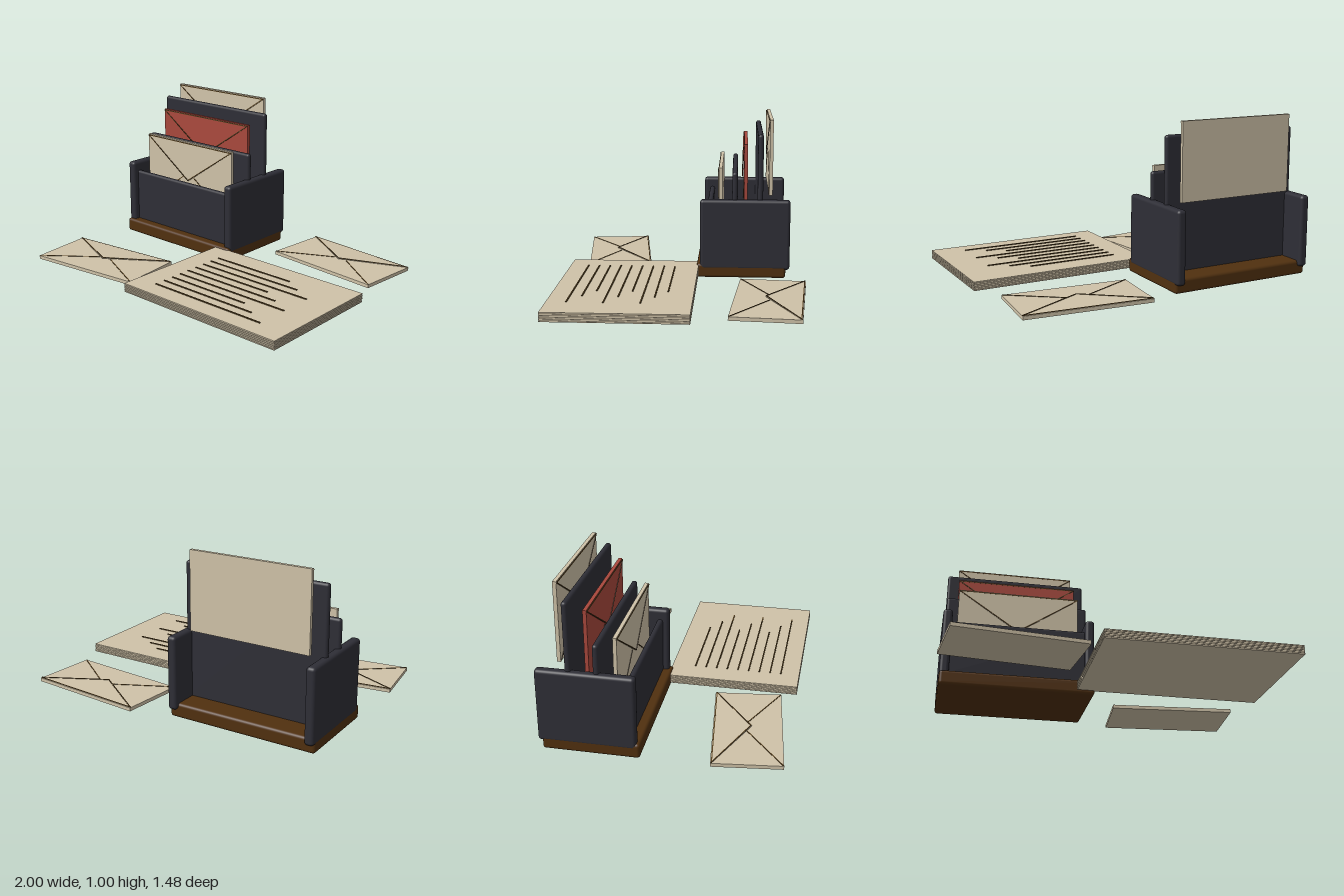
import * as THREE from 'three';
import { RoundedBoxGeometry } from 'three/addons/geometries/RoundedBoxGeometry.js';

const material = (name, color) => {
  const m = new THREE.MeshStandardMaterial({ color });
  m.name = name;
  return m;
};

export function createModel() {
  const root = new THREE.Group();
  root.name = 'letterRackSet';
  const paper = material('cream paper', 0xcfc2a8);
  const red = material('red paper', 0xa8483c);
  const dark = material('charcoal panel', 0x2e2e36);
  const wood = material('dark wood', 0x50300f);
  const ink = material('brown ink', 0x55401f);
  const shade = material('paper gap', 0x6b6250);

  const add = (parent, name, geometry, mat, x = 0, y = 0, z = 0) => {
    const mesh = new THREE.Mesh(geometry, mat);
    mesh.name = name;
    mesh.position.set(x, y, z);
    parent.add(mesh);
    return mesh;
  };
  const box = (w, h, d) => new THREE.BoxGeometry(w, h, d);
  const rounded = (w, h, d, r) => new RoundedBoxGeometry(w, h, d, 3, r);

  // Rack: wooden base, two side panels, three stepped dividers
  const rack = new THREE.Group();
  rack.name = 'rack';
  rack.position.x = -0.5025;
  root.add(rack);
  add(rack, 'base', rounded(0.945, 0.09, 0.565, 0.018), wood, 0, 0.045, -0.3475);
  for (const s of [-1, 1]) {
    add(rack, 'sidePanel', rounded(0.058, 0.45, 0.57, 0.02), dark, s * 0.4445, 0.278, -0.37);
  }
  for (const [top, z] of [[0.438, -0.14], [0.676, -0.305], [0.915, -0.465]]) {
    add(rack, 'divider', rounded(0.908, top - 0.075, 0.035, 0.0165), dark, 0, (top + 0.075) / 2, z);
  }

  // A thin straight crease between two points on the envelope's face
  const crease = (parent, a, b) => {
    const from = new THREE.Vector3(...a), to = new THREE.Vector3(...b);
    const bar = add(parent, 'crease', box(from.distanceTo(to), 0.006, 0.003), ink);
    bar.position.copy(from).add(to).multiplyScalar(0.5);
    bar.quaternion.setFromUnitVectors(new THREE.Vector3(1, 0, 0), to.sub(from).normalize());
  };

  // Envelope: upright, facing +z, with a slightly lifted pointed flap
  const envelope = (name, w, h, mat) => {
    const g = new THREE.Group();
    g.name = name;
    const t = 0.022, x = w / 2, y = h / 2, face = t / 2;
    const apex = y - h * 0.545, tip = face + 0.011;
    add(g, 'body', box(w, h, t), mat);
    const flapShape = new THREE.Shape([
      new THREE.Vector2(-x, 0), new THREE.Vector2(0, apex - y), new THREE.Vector2(x, 0),
    ]);
    const flap = add(g, 'flap',
      new THREE.ExtrudeGeometry(flapShape, { depth: 0.003, bevelEnabled: false }), mat, 0, y - 0.006, face);
    flap.rotation.x = -Math.atan2(tip - face - 0.003, y - apex);
    for (const s of [-1, 1]) {
      crease(g, [s * (x - 0.003), y - 0.006, face + 0.004], [0, apex, tip + 0.002]);
      crease(g, [s * (x - 0.003), -y + 0.003, face + 0.001], [s * 0.045, apex + 0.022, face + 0.001]);
    }
    crease(g, [-x, y - 0.008, face + 0.002], [x, y - 0.008, face + 0.002]);
    root.add(g);
    return g;
  };

  // Letters standing in the rack: top height, depth, colour
  for (const [name, top, z, mat] of [
    ['frontLetter', 0.695, -0.213, paper],
    ['middleLetter', 0.845, -0.374, red],
    ['backLetter', 1.0, -0.533, paper],
  ]) envelope(name, 0.765, 0.48, mat).position.set(-0.5025, top - 0.24, z);

  // Envelopes lying loose beside the rack
  for (const [name, x, z, yaw] of [
    ['looseEnvelopeBack', 0.544, -0.511, -0.088],
    ['looseEnvelopeFront', -0.595, 0.49, 0.12],
  ]) {
    const e = envelope(name, 0.768, 0.404, paper);
    e.position.set(x, 0.032, z);
    e.rotation.set(-Math.PI / 2, yaw, 0, 'YXZ');
  }

  // Stack of sheets with darker gaps between them
  const stack = new THREE.Group();
  stack.name = 'paperStack';
  stack.position.set(0.43, 0, 0.329);
  root.add(stack);
  const sheets = 6, pitch = 0.0096;
  for (let i = 0; i < sheets; i++) {
    add(stack, 'sheet', box(1.138, 0.0065, 0.814), paper, 0, 0.0275 + i * pitch, 0);
    if (i) add(stack, 'sheetGap', box(1.132, 0.0035, 0.808), shade, 0, 0.0275 + (i - 0.5) * pitch, 0);
  }

  // Ruled writing on the top sheet, in three repeating lengths
  const lengths = [0.57, 0.68, 0.8];
  for (let i = 0; i < 9; i++) {
    const l = lengths[i % 3];
    add(stack, 'writingLine', box(l, 0.006, 0.008), ink, -0.42 + l / 2, 0.081, -0.259 + i * 0.0688);
  }
  return root;
}
